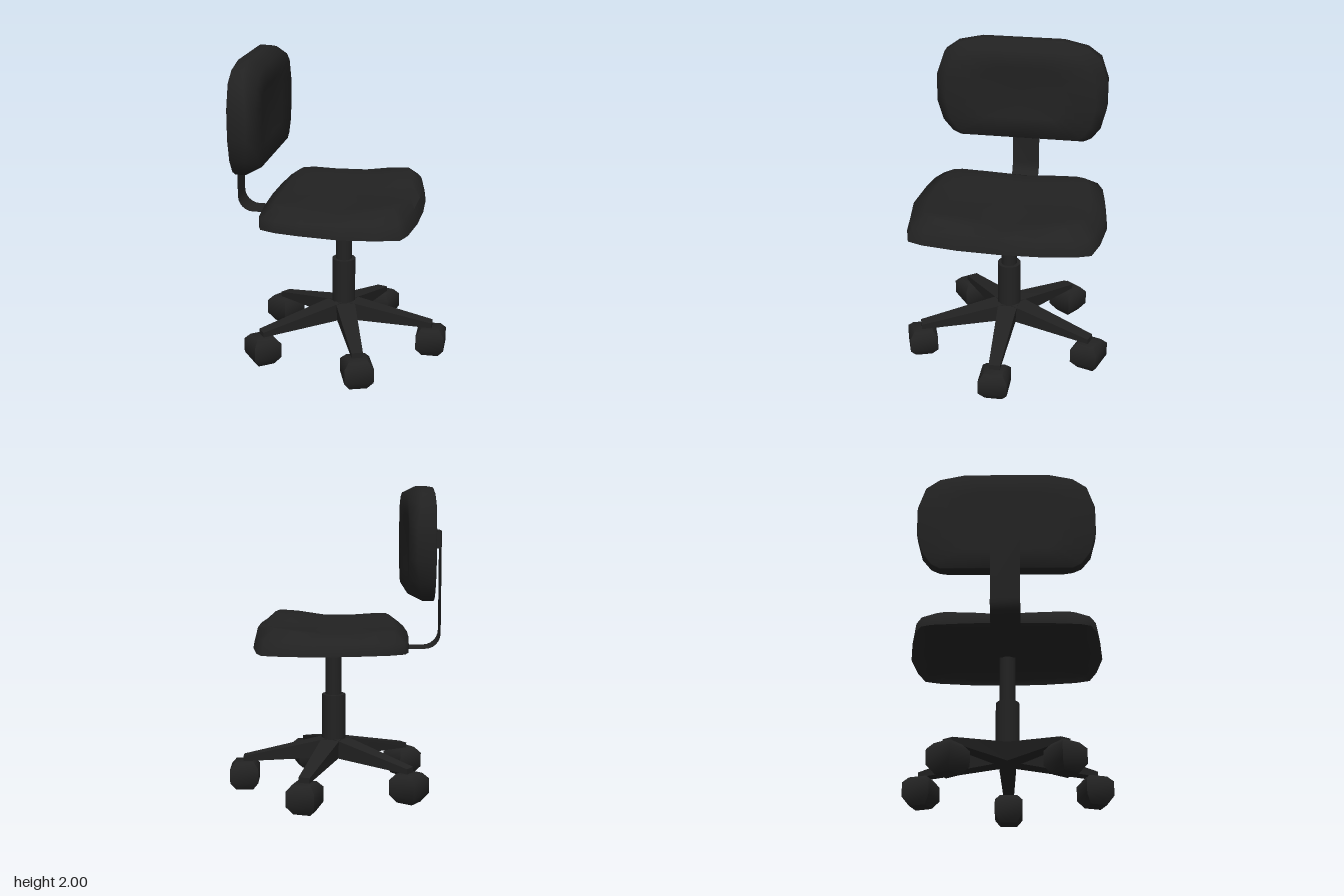
import * as THREE from 'three';
import { toCreasedNormals } from 'three/addons/utils/BufferGeometryUtils.js';

const V = (x, y, z) => new THREE.Vector3(x, y, z);
const material = new THREE.MeshStandardMaterial({ color: 0x222222, side: THREE.DoubleSide });

function part(name, geometry, parent) {
  const mesh = new THREE.Mesh(geometry, material);
  mesh.name = name;
  parent.add(mesh);
  return mesh;
}

// Skin over closed rings (counter-clockwise seen from the last ring), capped at both ends
function loft(rings, crease) {
  const n = rings[0].length, pts = rings.flat(), index = [];
  for (let r = 0; r < rings.length - 1; r++) {
    for (let i = 0; i < n; i++) {
      const j = (i + 1) % n, a = r * n, b = a + n;
      index.push(a + i, a + j, b + j, a + i, b + j, b + i);
    }
  }
  [0, rings.length - 1].forEach((r, end) => {
    const c = pts.length, mid = V(0, 0, 0);
    rings[r].forEach(p => mid.addScaledVector(p, 1 / n));
    pts.push(mid);
    for (let i = 0; i < n; i++) {
      const p = r * n + i, q = r * n + (i + 1) % n;
      index.push(c, end ? p : q, end ? q : p);
    }
  });
  const g = new THREE.BufferGeometry().setFromPoints(pts);
  g.setIndex(index);
  return toCreasedNormals(g, crease);
}

// Complete a half outline by mirroring it across x = 0
function mirrored(half) {
  const other = half.filter(p => p[0] > 0).reverse().map(([x, y]) => [-x, y]);
  return [...half, ...other];
}

function seatGeometry() {
  const outline = mirrored([
    [0, 0.52], [0.25, 0.51], [0.48, 0.478], [0.575, 0.443], [0.615, 0.3], [0.64, 0.076],
    [0.61, -0.18], [0.58, -0.338], [0.535, -0.435], [0.47, -0.46], [0.25, -0.478], [0, -0.485]]);
  // Dished top that lifts at the four corners
  const top = (x, z) => 1.09 + (z > 0 ? 0.055 : 0.033) * Math.min(1, Math.abs(x * z) / 0.165);
  const ring = (s, y) => outline.map(([x, z]) => V(x * s, y ?? top(x * s, z * s), z * s));
  // Upper edge of the side, sloping in more and rising toward the front
  const edge = outline.map(([x, z]) => {
    const s = 0.975 - 0.04 * z;
    return V(x * s, 1.07 + 0.03 * z, z * s);
  });
  // Recessed underside, rim, side, then the dished top
  return loft([ring(0.96, 1.03), ring(1, 0.99), edge, ring(0.83), ring(0.6), ring(0.3)], 1.2);
}

function backGeometry() {
  const cy = 1.65;
  const outline = mirrored([
    [0, 1.305], [0.42, 1.305], [0.475, 1.335], [0.535, 1.42], [0.57, 1.56], [0.57, 1.75],
    [0.52, 1.9], [0.43, 1.965], [0.27, 2], [0, 2]]);
  const ring = (s, z) => outline.map(([x, y]) => V(x * s, cy + (y - cy) * s, z));
  // Front rim falls back toward the top and bottom edges
  const rim = ring(1, 0).map(p => V(p.x, p.y, -0.5 - 0.05 * ((p.y - cy) / 0.35) ** 2));
  return loft([ring(0.6, -0.62), ring(0.99, -0.62), ring(1, -0.615), rim,
    ring(0.88, -0.458), ring(0.5, -0.47), ring(0.2, -0.478)], 1.4);
}

// Flat steel strip swept along a bent side profile
function stripGeometry() {
  const path = [[-0.61, 1.72], [-0.695, 1.72], [-0.695, 1.06]];
  for (let i = 1; i <= 6; i++) {
    const a = i * Math.PI / 12;
    path.push([-0.595 - 0.1 * Math.cos(a), 1.055 - 0.1 * Math.sin(a)]);
  }
  path.push([-0.04, 0.955]);
  const pts = path.flatMap(([z, y]) => [V(-0.086, y, z), V(0.1, y, z)]);
  const index = [];
  for (let i = 0; i < path.length - 1; i++) {
    const a = 2 * i;
    index.push(a, a + 1, a + 3, a, a + 3, a + 2);
  }
  const g = new THREE.BufferGeometry().setFromPoints(pts);
  g.setIndex(index);
  return toCreasedNormals(g, 0.7);
}

// Tapering leg, along +z
function legGeometry() {
  const ring = (z, bottom, top, wBottom, wTop) =>
    [V(-wBottom, bottom, z), V(wBottom, bottom, z), V(wTop, top, z), V(-wTop, top, z)];
  return loft([ring(0, 0.22, 0.352, 0.055, 0.065), ring(0.06, 0.22, 0.345, 0.055, 0.065),
    ring(0.6, 0.19, 0.225, 0.035, 0.037)], 0.5);
}

// Blocky caster, bevelled all round at the top and bottom
function casterGeometry() {
  const ring = (s, y) => [V(-s, y, s), V(s, y, s), V(s, y, -s), V(-s, y, -s)];
  return loft([ring(0.055, 0), ring(0.093, 0.055), ring(0.093, 0.15), ring(0.06, 0.19)], 0.9);
}

export function createModel() {
  const model = new THREE.Group();
  model.name = 'officeChair';
  const chair = new THREE.Group();
  chair.name = 'chair';
  chair.position.set(0.035, 0, 0.077);
  chair.rotation.y = Math.PI / 6;
  model.add(chair);

  part('seat', seatGeometry(), chair).position.x = 0.006;
  part('backrest', backGeometry(), chair);
  part('backSupport', stripGeometry(), chair);
  part('backBracket', new THREE.BoxGeometry(0.18, 0.11, 0.08), chair).position.set(0.007, 1.663, -0.652);

  // Gas lift column
  part('upperColumn', new THREE.CylinderGeometry(0.053, 0.053, 0.42, 16), chair).position.y = 0.84;
  part('lowerColumn', new THREE.CylinderGeometry(0.077, 0.077, 0.42, 16), chair).position.y = 0.43;

  // Five-star base
  const leg = legGeometry(), caster = casterGeometry();
  const stem = new THREE.CylinderGeometry(0.022, 0.022, 0.06, 8);
  for (let i = 0; i < 5; i++) {
    const arm = new THREE.Group();
    arm.name = 'baseArm';
    arm.rotation.y = i * Math.PI * 2 / 5;
    part('leg', leg, arm);
    part('casterStem', stem, arm).position.set(0, 0.19, 0.565);
    part('caster', caster, arm).position.set(0, 0, 0.593);
    chair.add(arm);
  }
  return model;
}
